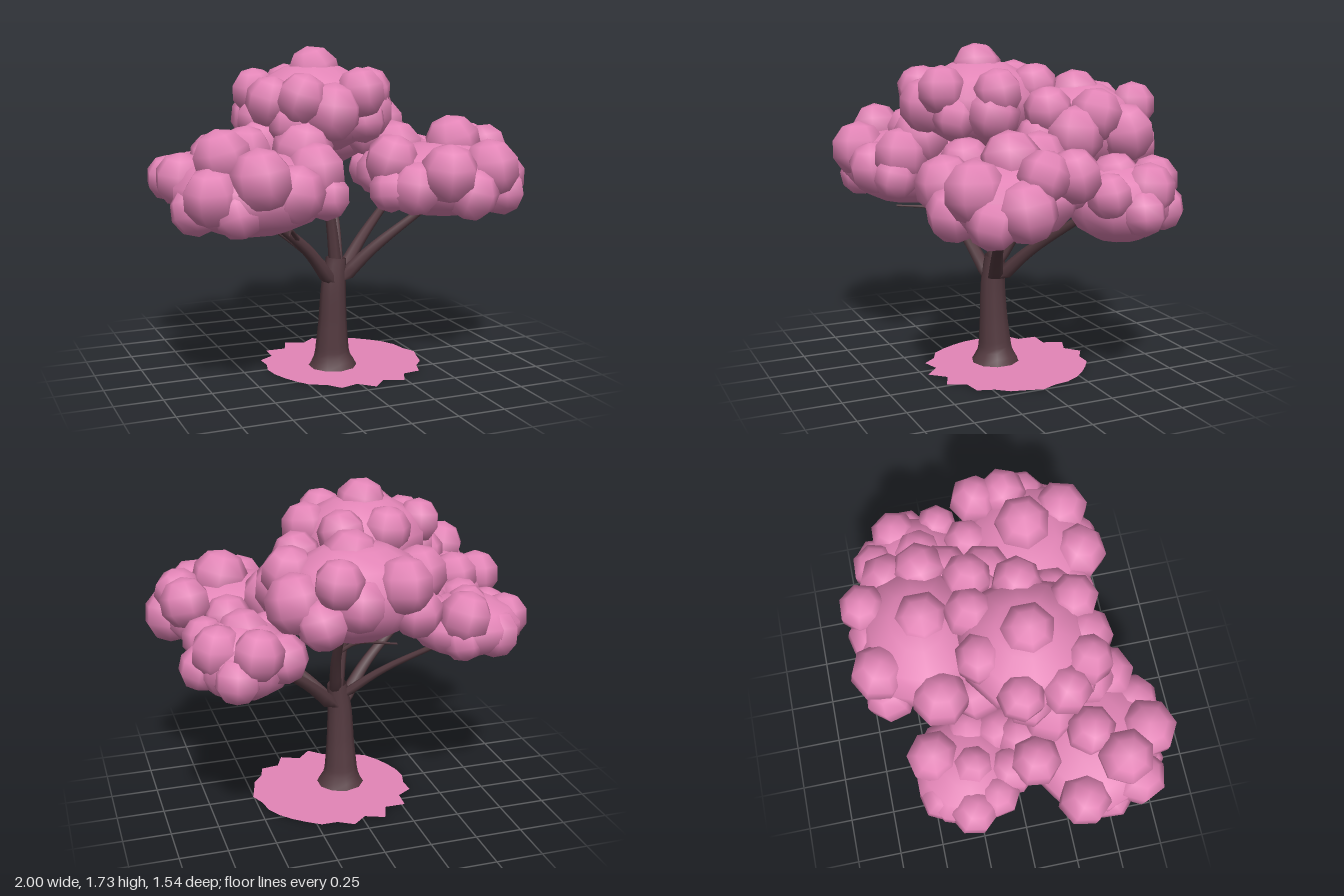
import * as THREE from 'three';

const mat = (name, color) => new THREE.MeshStandardMaterial({ name, color });

export function createModel() {
  const tree = new THREE.Group();
  tree.name = 'blossomTree';
  const blossom = mat('blossom pink', 0xe385b7);
  const petals = mat('petal pink', 0xe385b7);
  petals.side = THREE.DoubleSide;
  const bark = mat('bark brown', 0x543a40);
  bark.side = THREE.DoubleSide;

  // Round limb along a curve, its radius interpolated through a short list
  function limb(name, points, radii, sides = 7, steps = 12) {
    const curve = new THREE.CatmullRomCurve3(points.map(p => new THREE.Vector3(...p)));
    const geo = new THREE.TubeGeometry(curve, steps, 1, sides, false);
    const pos = geo.attributes.position;
    const centre = new THREE.Vector3(), v = new THREE.Vector3();
    for (let i = 0; i <= steps; i++) {
      curve.getPointAt(i / steps, centre);
      const t = curve.getUtoTmapping(i / steps) * (radii.length - 1);
      const k = Math.min(Math.floor(t), radii.length - 2);
      const r = THREE.MathUtils.lerp(radii[k], radii[k + 1], t - k);
      for (let j = 0; j <= sides; j++) {
        const n = i * (sides + 1) + j;
        v.fromBufferAttribute(pos, n).sub(centre).multiplyScalar(r).add(centre);
        pos.setXYZ(n, v.x, i === 0 ? points[0][1] : v.y, v.z);
      }
    }
    geo.computeVertexNormals();
    // Share normals across the seam
    const nor = geo.attributes.normal;
    for (let i = 0; i <= steps; i++) {
      const a = i * (sides + 1), b = a + sides;
      v.fromBufferAttribute(nor, a).add(centre.fromBufferAttribute(nor, b)).normalize();
      nor.setXYZ(a, v.x, v.y, v.z);
      nor.setXYZ(b, v.x, v.y, v.z);
    }
    const mesh = new THREE.Mesh(geo, bark);
    mesh.name = name;
    tree.add(mesh);
  }

  // Trunk with flared foot
  limb('trunk',
    [[-0.012, 0, 0.052], [-0.015, 0.07, 0.052], [-0.015, 0.25, 0.06], [-0.012, 0.45, 0.065], [0.005, 0.6, 0.06]],
    [0.132, 0.094, 0.077, 0.067, 0.055], 10, 20);

  // Main branches, one to each crown cluster
  const thick = [0.042, 0.031, 0.018], middle = [0.036, 0.028, 0.018];
  limb('frontLeftBranch', [[-0.03, 0.47, 0.08], [-0.2, 0.68, 0.15], [-0.5, 0.92, 0.26]], thick);
  limb('backLeftBranch', [[-0.02, 0.52, 0.06], [-0.22, 0.7, -0.06], [-0.54, 0.93, -0.28]], [0.028, 0.02, 0.013]);
  limb('frontRightBranch', [[0.03, 0.48, 0.07], [0.19, 0.65, 0.13], [0.47, 0.88, 0.22]], thick);
  limb('backRightBranch', [[0.03, 0.48, 0.04], [0.2, 0.66, -0.06], [0.5, 0.9, -0.24]], thick);
  limb('topBranch', [[0, 0.56, 0.065], [-0.035, 0.82, 0.08], [-0.13, 1.25, 0.1]], middle);
  limb('backBranch', [[0.015, 0.56, 0.05], [0.055, 0.8, -0.09], [0.07, 1.15, -0.32]], middle);

  // Thin twigs
  limb('frontTwig', [[-0.25, 0.73, 0.17], [-0.33, 0.81, 0.28], [-0.41, 0.83, 0.47]], [0.015, 0.011, 0.005], 6);
  limb('middleTwig', [[0.055, 0.85, -0.12], [-0.03, 0.91, -0.16], [-0.2, 0.95, -0.33]], [0.013, 0.01, 0.005], 6);

  // Crown cluster: one flattened mass studded with round puffs [x, y, z, radius]
  const massGeo = new THREE.SphereGeometry(1, 10, 7);
  const puffGeo = new THREE.SphereGeometry(1, 7, 5);
  function cluster(name, centre, radii, puffs) {
    const group = new THREE.Group();
    group.name = name;
    const mass = new THREE.Mesh(massGeo, blossom);
    mass.name = 'blossomMass';
    mass.position.set(...centre);
    mass.scale.set(...radii);
    group.add(mass);
    puffs.forEach(([x, y, z, size], i) => {
      const puff = new THREE.Mesh(puffGeo, blossom);
      puff.name = 'blossomPuff';
      puff.position.set(x, y, z);
      puff.rotation.set(0.25 * Math.sin(i * 2.3), i * 2.1, 0.25 * Math.cos(i * 1.7));
      puff.scale.setScalar(size);
      group.add(puff);
    });
    tree.add(group);
  }

  cluster('topCluster', [-0.14, 1.41, 0.09], [0.35, 0.235, 0.34], [
    [-0.14, 1.59, 0.1, 0.14], [0.16, 1.49, 0.11, 0.13], [0.01, 1.5, 0.36, 0.13],
    [-0.43, 1.5, 0.01, 0.12], [-0.42, 1.46, 0.23, 0.13], [-0.2, 1.5, -0.14, 0.13],
    [0.04, 1.5, -0.15, 0.13], [-0.15, 1.41, 0.38, 0.15], [0.15, 1.38, 0.13, 0.14],
    [-0.3, 1.48, 0.36, 0.13], [0.05, 1.36, 0.3, 0.12], [-0.33, 1.35, 0.3, 0.12],
    [-0.42, 1.36, 0.05, 0.12]]);

  cluster('backCluster', [0.05, 1.28, -0.4], [0.38, 0.25, 0.32], [
    [0.07, 1.44, -0.38, 0.15], [-0.12, 1.36, -0.63, 0.145], [0.21, 1.4, -0.65, 0.125],
    [0.1, 1.28, -0.62, 0.14], [0.38, 1.28, -0.51, 0.155], [0.37, 1.28, -0.22, 0.155],
    [0.27, 1.4, -0.12, 0.13], [-0.3, 1.33, -0.36, 0.145], [-0.2, 1.21, -0.6, 0.13],
    [0.28, 1.2, -0.62, 0.13], [0.37, 1.38, -0.34, 0.14], [-0.28, 1.22, -0.18, 0.13],
    [0.25, 1.25, -0.08, 0.13]]);

  cluster('frontLeftCluster', [-0.56, 1.03, 0.35], [0.4, 0.21, 0.36], [
    [-0.74, 1.22, 0.47, 0.145], [-0.88, 1.1, 0.24, 0.135], [-0.6, 1.13, 0.62, 0.155],
    [-0.81, 1.05, 0.53, 0.145], [-0.3, 1.22, 0.36, 0.16], [-0.28, 1.13, 0.48, 0.155],
    [-0.42, 1.05, 0.59, 0.145], [-0.66, 1.17, 0.04, 0.13], [-0.24, 1.02, 0.53, 0.12],
    [-0.45, 1.22, 0.15, 0.145], [-0.85, 0.97, 0.38, 0.13], [-0.5, 1.1, 0.0, 0.13],
    [-0.27, 1.08, 0.2, 0.14], [-0.7, 0.97, 0.58, 0.12], [-0.58, 1.23, 0.33, 0.13]]);

  cluster('frontRightCluster', [0.54, 1.03, 0.25], [0.4, 0.2, 0.36], [
    [0.6, 1.21, 0.24, 0.155], [0.44, 1.09, 0.51, 0.155], [0.7, 1.1, 0.47, 0.155],
    [0.86, 1.02, 0.28, 0.15], [0.82, 1.16, 0.02, 0.135], [0.38, 1.16, -0.01, 0.16],
    [0.21, 1.14, 0.31, 0.145], [0.29, 1.01, 0.43, 0.14], [0.18, 1, 0.37, 0.115],
    [0.57, 0.98, 0.52, 0.14], [0.8, 0.97, 0.42, 0.13], [0.23, 1.06, 0.12, 0.13],
    [0.62, 1.08, -0.06, 0.13], [0.83, 1.17, 0.18, 0.13]]);

  cluster('backRightCluster', [0.61, 0.97, -0.35], [0.26, 0.2, 0.27], [
    [0.82, 0.95, -0.36, 0.115], [0.77, 1.04, -0.2, 0.115], [0.58, 1.06, -0.56, 0.13],
    [0.68, 0.94, -0.55, 0.12], [0.6, 1.08, -0.33, 0.14], [0.75, 1.05, -0.43, 0.135],
    [0.44, 1, -0.48, 0.13], [0.44, 1.02, -0.2, 0.13]]);

  cluster('backLeftCluster', [-0.59, 1.01, -0.3], [0.3, 0.16, 0.27], [
    [-0.52, 1.1, -0.45, 0.14], [-0.81, 1.03, -0.3, 0.125], [-0.76, 1.04, -0.17, 0.115],
    [-0.7, 0.99, -0.43, 0.13], [-0.51, 0.98, -0.46, 0.11], [-0.4, 1.05, -0.25, 0.13],
    [-0.61, 1.09, -0.27, 0.12], [-0.65, 1.06, -0.08, 0.13], [-0.44, 1.07, -0.1, 0.13]]);

  // Ragged carpet of fallen petals
  const rim = [];
  for (let i = 0; i < 32; i++) {
    const a = i / 32 * Math.PI * 2;
    const d = (i % 2 ? 0.41 : 0.445) + 0.02 * Math.sin(i * 2.7);
    rim.push(new THREE.Vector2(Math.cos(a) * d, Math.sin(a) * d));
  }
  const carpet = new THREE.Mesh(new THREE.ShapeGeometry(new THREE.Shape(rim)), petals);
  carpet.name = 'fallenPetals';
  carpet.rotation.x = -Math.PI / 2;
  carpet.position.set(0.06, 0.002, 0.01);
  tree.add(carpet);

  return tree;
}
